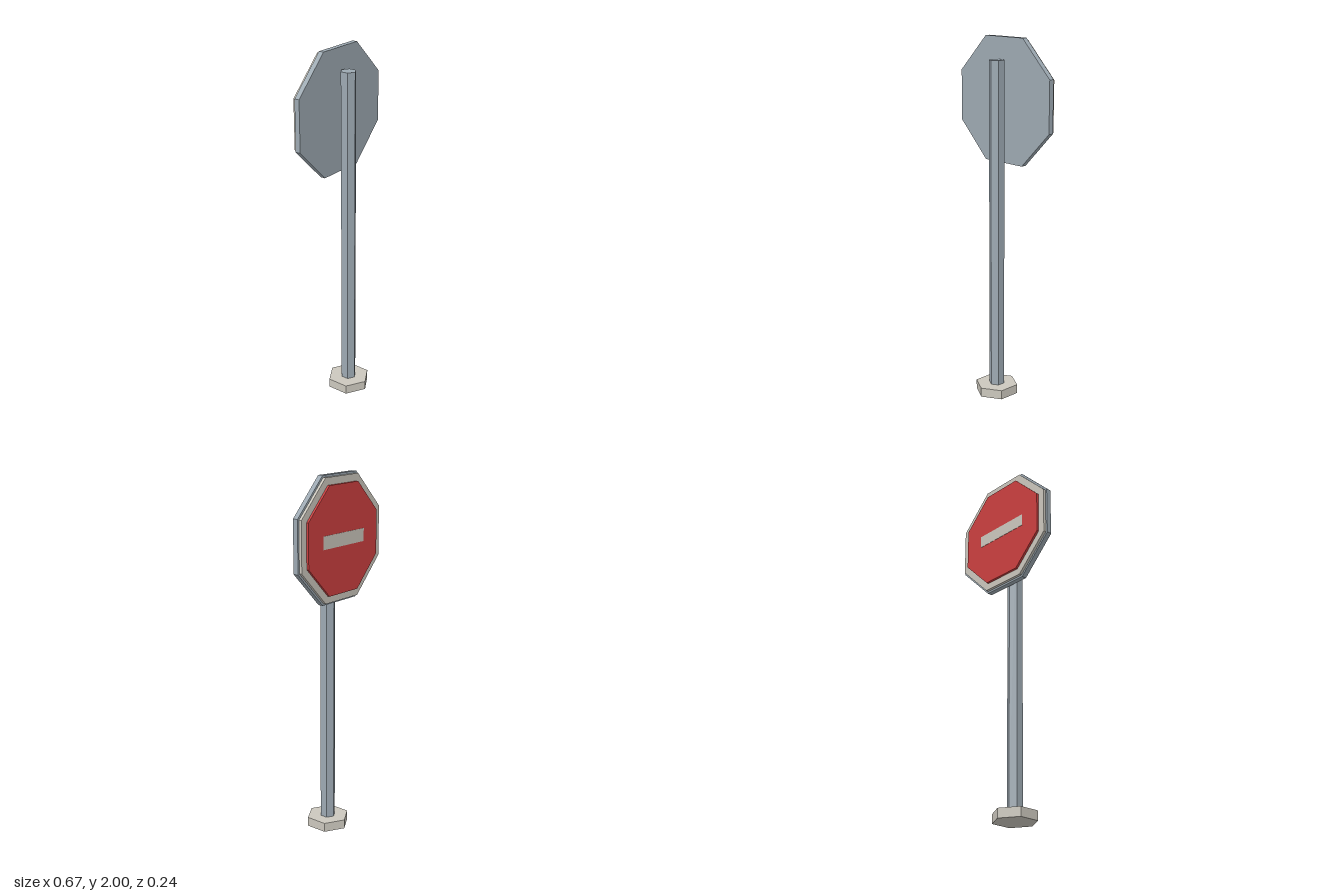
import * as THREE from 'three';

const flat = (name, color) => {
  const m = new THREE.MeshStandardMaterial({ color });
  m.name = name;
  m.flatShading = true;
  return m;
};

export function createModel() {
  const steel = flat('steel', 0x9da9b2);
  const cream = flat('cream', 0xcbc7bd);
  const red = flat('red', 0xcc3f3f);
  const model = new THREE.Group();
  model.name = 'roadSign';

  const add = (name, geometry, material) => {
    const mesh = new THREE.Mesh(geometry, material);
    mesh.name = name;
    model.add(mesh);
  };

  // Upright hexagonal prism with corners on the z axis
  const hexPrism = (radius, y0, y1) =>
    new THREE.CylinderGeometry(radius, radius, y1 - y0, 6).translate(0, (y0 + y1) / 2, 0);

  // Octagonal plate standing in the xy plane, between two depths
  const signY = 1.664;
  const octPlate = (halfWidth, zBack, zFace) => {
    const r = halfWidth / Math.cos(Math.PI / 8);
    return new THREE.CylinderGeometry(r, r, zBack - zFace, 8)
      .rotateY(Math.PI / 8)
      .rotateX(-Math.PI / 2)
      .translate(0, signY, (zBack + zFace) / 2);
  };

  // Foot and post
  add('base', hexPrism(0.121, 0, 0.052), cream);
  add('post', hexPrism(0.043, 0.05, 1.883), steel);

  // Sign, stacked towards the back
  add('backPlate', octPlate(0.337, -0.05, -0.079), steel);
  add('rimPlate', octPlate(0.326, -0.079, -0.095), cream);
  add('signFace', octPlate(0.287, -0.095, -0.108), red);

  // Horizontal bar on the sign face
  add('bar', new THREE.BoxGeometry(0.34, 0.07, 0.004).translate(0, signY, -0.1075), cream);

  return model;
}
